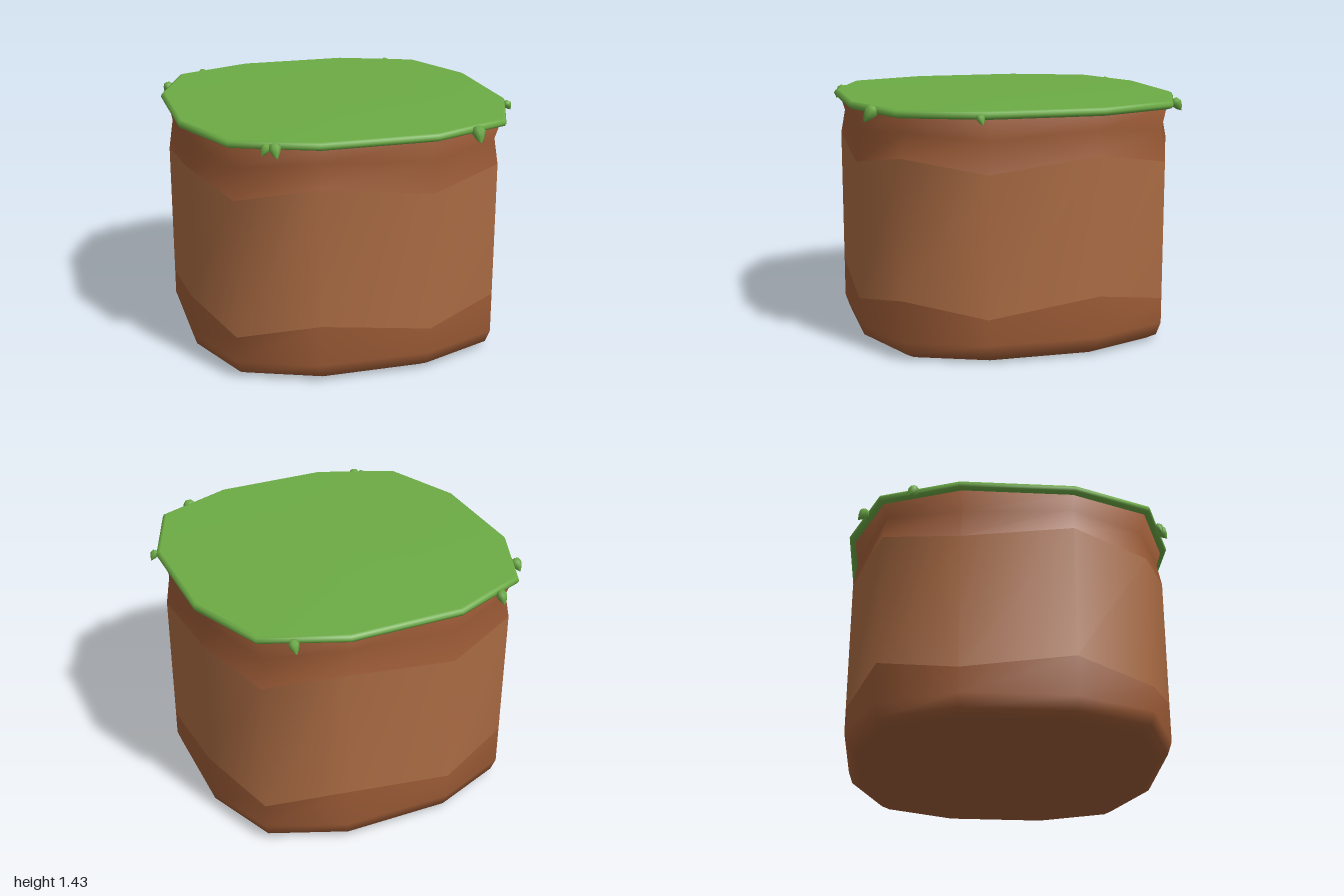
import * as THREE from 'three';

// Twelve-sided outline with unit half-width, running counterclockwise seen from above
const OUTLINE = [];
for (const [sx, sz] of [[1, 1], [1, -1], [-1, -1], [-1, 1]]) {
  const corner = [[0.34, 1], [0.81, 0.81], [1, 0.34]].map(([x, z]) => [x * sx, z * sz]);
  OUTLINE.push(...(sx * sz > 0 ? corner : corner.reverse()));
}
const CENTRE_X = -0.02;

// Skin stacked outline rings, bottom to top; each is [halfWidth, y at even corners, y at odd corners]
function band(name, rings, material) {
  const n = OUTLINE.length, pos = [], index = [];
  rings.forEach(([r, yEven, yOdd = yEven], k) => {
    OUTLINE.forEach(([x, z], i) => {
      pos.push(CENTRE_X + x * r, i % 2 ? yOdd : yEven, z * r);
      if (k === 0) return;
      const j = (i + 1) % n, a = (k - 1) * n, b = k * n;
      index.push(a + i, a + j, b + j, a + i, b + j, b + i);
    });
  });
  const geometry = new THREE.BufferGeometry();
  geometry.setAttribute('position', new THREE.Float32BufferAttribute(pos, 3));
  geometry.setIndex(index);
  geometry.computeVertexNormals();
  const mesh = new THREE.Mesh(geometry, material);
  mesh.name = name;
  return mesh;
}

export function createModel() {
  const group = new THREE.Group();
  group.name = 'grassyDirtBlock';
  const soil = new THREE.MeshStandardMaterial({ color: 0xaa6b43 });
  const darkSoil = new THREE.MeshStandardMaterial({ color: 0x9c5b36 });
  const grass = new THREE.MeshStandardMaterial({ color: 0x6cab45 });

  // Dirt: rounded foot, plain middle with zigzag borders, slightly undercut upper band
  group.add(
    band('lowerDirt', [[0, 0], [0.86, 0], [0.92, 0.035], [0.945, 0.11], [0.945, 0.26, 0.35]], darkSoil),
    band('middleDirt', [[0.945, 0.26, 0.35], [0.945, 1.07, 1.15]], soil),
    band('upperDirt', [[0.945, 1.07, 1.15], [0.92, 1.25, 1.29], [0.945, 1.375], [0.9, 1.38]], darkSoil),
  );

  // Thin grass slab with a softened rim
  group.add(band('grassTop', [
    [0, 1.372], [0.955, 1.372], [0.975, 1.38], [0.982, 1.395],
    [0.975, 1.412], [0.96, 1.42], [0, 1.422],
  ], grass));

  // Small leaf tufts drooping over the rim: [x, z, size]
  const leafProfile = [[0, -0.055], [0.022, -0.025], [0.036, 0.01], [0.026, 0.035], [0, 0.043]]
    .map(([x, y]) => new THREE.Vector2(x, y));
  const leaf = new THREE.LatheGeometry(leafProfile, 7);
  const tufts = [
    [-0.65, -0.89, 0.9], [0.6, -0.89, 0.9], [-0.92, -0.6, 0.9], [0.965, 0.37, 0.7],
    [-0.63, 0.885, 0.75], [-0.58, 0.91, 0.95], [0.57, 0.9, 1.1],
  ];
  tufts.forEach(([x, z, size], i) => {
    const tuft = new THREE.Mesh(leaf, grass);
    tuft.name = `leafTuft${i + 1}`;
    tuft.position.set(x, 1.38, z);
    tuft.rotation.order = 'YXZ';
    tuft.rotation.set(-0.55, Math.atan2(x, z), i % 2 ? 0.4 : -0.3);
    tuft.scale.setScalar(size);
    group.add(tuft);
  });
  return group;
}
